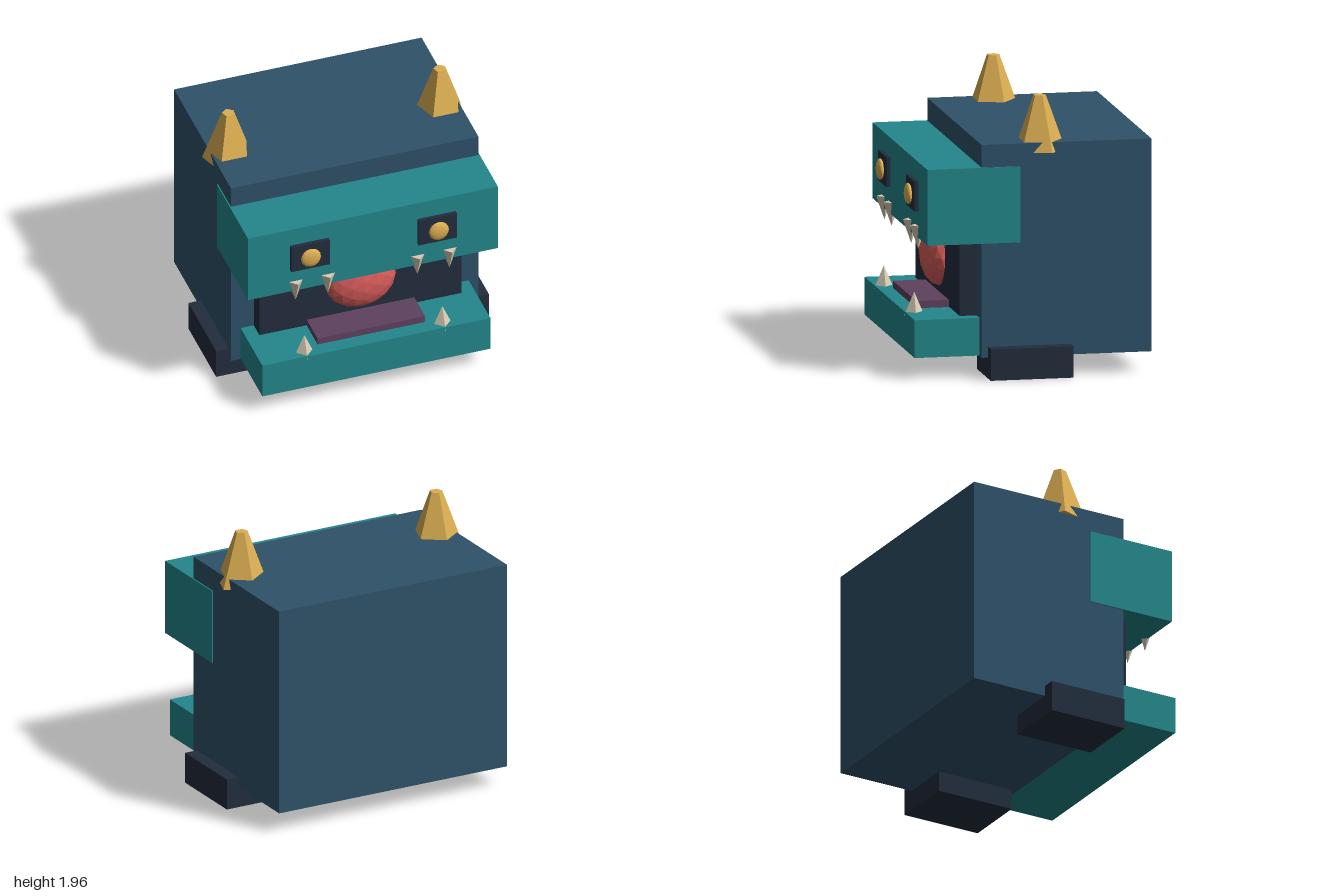
import * as THREE from 'three';

const material = (name, color, flatShading = true) => {
  const m = new THREE.MeshStandardMaterial({ color, flatShading });
  m.name = name;
  return m;
};

export function createModel() {
  const model = new THREE.Group();
  model.name = 'boxMonster';

  const navy = material('navyBlue', 0x2f5169);
  const teal = material('teal', 0x23878b);
  const dark = material('darkSlate', 0x222d3c);
  const gold = material('gold', 0xdcae51);
  const red = material('coralRed', 0xda5d5b);
  const plum = material('plum', 0x5e4160);
  const ivory = material('ivory', 0xd8ccb5);

  const add = (name, geometry, mat, x, y, z) => {
    const mesh = new THREE.Mesh(geometry, mat);
    mesh.name = name;
    mesh.position.set(x, y, z);
    model.add(mesh);
    return mesh;
  };

  // Box given by its lowest and highest corners
  const box = (name, mat, [x0, y0, z0], [x1, y1, z1]) =>
    add(name, new THREE.BoxGeometry(x1 - x0, y1 - y0, z1 - z0), mat,
      (x0 + x1) / 2, (y0 + y1) / 2, (z0 + z1) / 2);

  // Faceted, flattened ball
  const ball = (name, mat, x, y, z, rx, ry, rz) =>
    add(name, new THREE.IcosahedronGeometry(1, 2).scale(rx, ry, rz), mat, x, y, z);

  // Head and jaws
  box('body', navy, [-0.907, 0.147, -0.835], [0.907, 1.647, 0.367]);
  box('upperJaw', teal, [-0.916, 0.952, 0.095], [0.916, 1.487, 0.752]);
  box('lowerJaw', teal, [-0.836, 0.15, 0.3], [0.836, 0.416, 0.826]);

  // Mouth
  box('mouthCavity', dark, [-0.74, 0.3, 0.3], [0.74, 1.0, 0.487]);
  box('tongue', plum, [-0.394, 0.38, 0.49], [0.394, 0.466, 0.72]);
  ball('throatBall', red, 0, 0.73, 0.485, 0.257, 0.23, 0.124);

  for (const s of [1, -1]) {
    const side = s > 0 ? 'left' : 'right';

    // Feet
    const foot = box(side + 'Foot', dark, [0.537, 0, -0.265], [1, 0.222, 0.322]);
    foot.position.x *= s;

    // Eyes
    const socket = box(side + 'EyeSocket', dark, [0.326, 1.14, 0.74], [0.607, 1.35, 0.78]);
    socket.position.x *= s;
    ball(side + 'Eye', gold, s * 0.469, 1.242, 0.795, 0.073, 0.075, 0.027);

    // Horns, with a point of the pentagon facing backwards
    const horn = add(side + 'Horn', new THREE.CylinderGeometry(0.045, 0.182, 0.383, 5), gold,
      s * 0.775, 1.769, -0.07);
    horn.rotation.y = Math.PI;

    // Teeth
    for (const x of [0.328, 0.564]) {
      const fang = add(side + 'UpperTooth', new THREE.ConeGeometry(0.059, 0.17, 4), ivory,
        s * x, 0.95, 0.743);
      fang.rotation.x = Math.PI;
    }
    add(side + 'LowerTooth', new THREE.ConeGeometry(0.071, 0.165, 4), ivory, s * 0.506, 0.473, 0.76);
  }

  return model;
}
